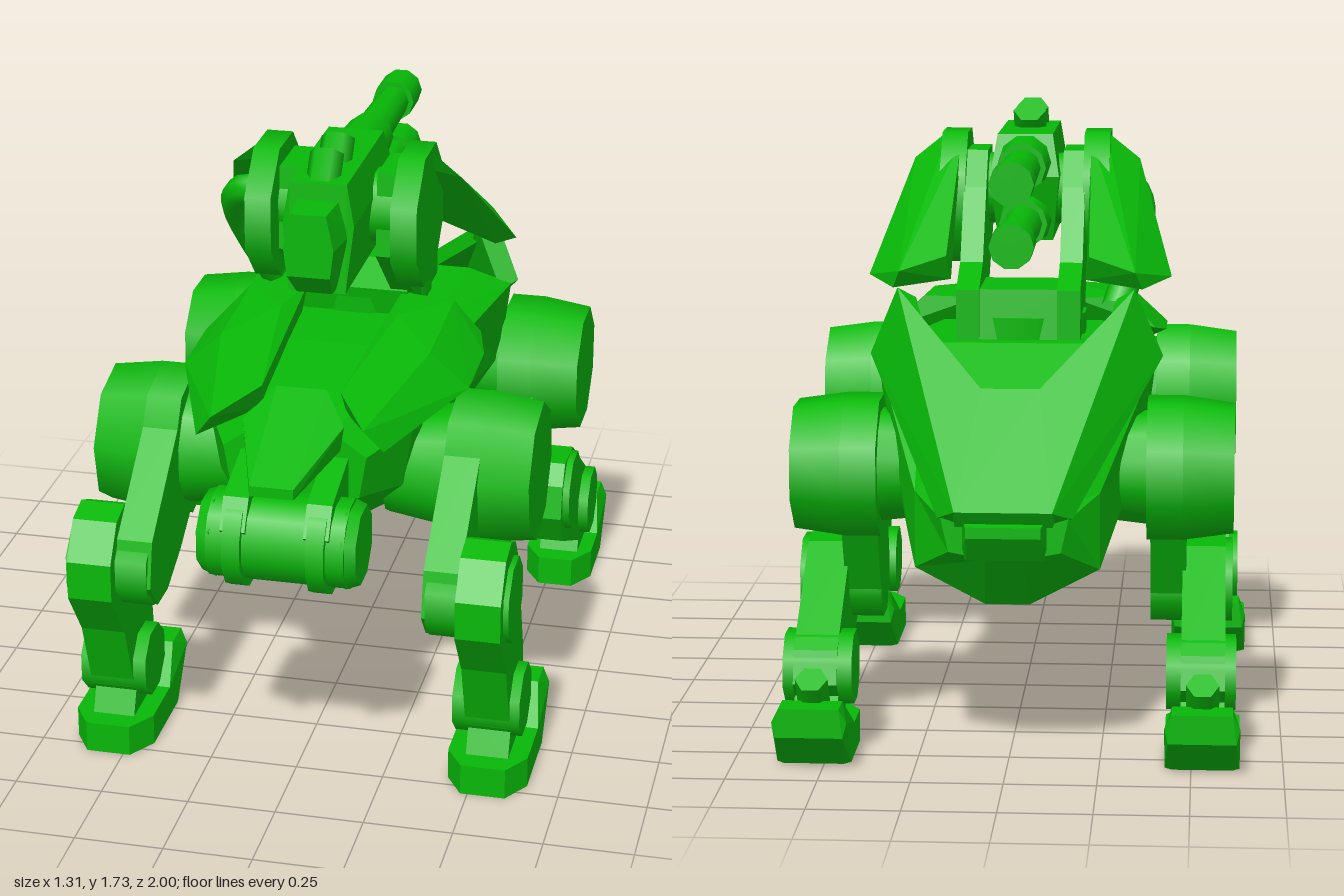
import * as THREE from 'three';
import { ConvexGeometry } from 'three/addons/geometries/ConvexGeometry.js';

const green = new THREE.MeshStandardMaterial({ color: 0x08b808 });
green.name = 'green armour';
const V = (p) => new THREE.Vector3(...p);
const UP = new THREE.Vector3(0, 1, 0);

export function createModel() {
  const root = new THREE.Group();
  root.name = 'quadrupedWalker';
  let parent = root;
  const add = (name, geo) => {
    const m = new THREE.Mesh(geo, green);
    m.name = name;
    parent.add(m);
    return m;
  };
  const group = (name, build) => {
    const g = new THREE.Group(), old = parent;
    g.name = name;
    old.add(g);
    parent = g;
    build();
    parent = old;
  };
  // faceted solid around a few corners; s mirrors x
  const hull = (name, pts, s = 1) => add(name, new ConvexGeometry(pts.map(([x, y, z]) => V([s * x, y, z]))));
  // solid symmetric about x = 0
  const symHull = (name, pts) => hull(name, pts.flatMap(([x, y, z]) => [[x, y, z], [-x, y, z]]));
  // sheet of corners given a thickness
  const plate = (name, pts, off, s = 1) =>
    hull(name, [...pts, ...pts.map((p) => p.map((v, i) => v + off[i]))], s);
  // cylinder between two points, turned about its axis by spin
  const rod = (name, a, b, r0, r1 = r0, n = 8, spin = Math.PI / n) => {
    const A = V(a), B = V(b), d = B.clone().sub(A);
    const geo = new THREE.CylinderGeometry(r1, r0, d.length(), n, 1, false, spin);
    geo.applyQuaternion(new THREE.Quaternion().setFromUnitVectors(UP, d.clone().normalize()));
    const c = A.add(B).multiplyScalar(0.5);
    return add(name, geo.translate(c.x, c.y, c.z));
  };
  // cylinder along x on side s
  const axle = (name, s, x0, x1, y, z, r0, r1 = r0, n = 8, spin = Math.PI / n) =>
    rod(name, [s * x0, y, z], [s * x1, y, z], r0, r1, n, spin);
  // side profile of (z, y) corners, given a width from x0 to x1
  const slab = (name, s, x0, x1, pts) => {
    const shape = new THREE.Shape(pts.map(([z, y]) => new THREE.Vector2(z, y)));
    const geo = new THREE.ExtrudeGeometry(shape, { depth: x1 - x0, bevelEnabled: false });
    geo.rotateY(-Math.PI / 2).translate(s > 0 ? x1 : -x0, 0, 0);
    return add(name, geo);
  };

  // hull lofted front to back; each section runs deck, shoulder, chine, keel
  const sections = [
    [0.74, [[0.1, 1.05], [0.2, 0.98], [0.18, 0.86], [0.08, 0.8]]],
    [0.55, [[0.18, 1.08], [0.29, 1.0], [0.26, 0.82], [0.12, 0.7]]],
    [0.25, [[0.24, 1.1], [0.31, 1.03], [0.31, 0.87], [0.18, 0.63]]],
    [0, [[0.24, 1.1], [0.33, 1.06], [0.33, 0.88], [0.18, 0.64]]],
    [-0.41, [[0.26, 1.1], [0.39, 1.06], [0.36, 0.82], [0.2, 0.56]]],
    [-0.82, [[0.18, 0.84], [0.25, 0.76], [0.25, 0.55], [0.06, 0.45]]],
    [-0.94, [[0.13, 0.74], [0.17, 0.71], [0.15, 0.62], [0.05, 0.6]]],
  ];
  const rings = sections.map(([z, h]) =>
    [...h, ...h.slice().reverse().map(([x, y]) => [-x, y])].map(([x, y]) => [x, y, z]));
  const tri = [];
  for (let i = 0; i < rings.length - 1; i++)
    for (let j = 0; j < 8; j++) {
      const k = (j + 1) % 8, a = rings[i][j], b = rings[i][k], c = rings[i + 1][k], d = rings[i + 1][j];
      tri.push(a, b, c, a, c, d);
    }
  const last = rings[rings.length - 1];
  for (let j = 1; j < 7; j++)
    tri.push(rings[0][0], rings[0][j + 1], rings[0][j], last[0], last[j], last[j + 1]);
  const body = new THREE.BufferGeometry();
  body.setAttribute('position', new THREE.Float32BufferAttribute(tri.flat(), 3));
  body.computeVertexNormals();
  add('body', body);
  symHull('tailBlock', [[0.12, 0.72, -0.9], [0.12, 0.6, -0.9], [0.1, 0.7, -1], [0.1, 0.67, -1], [0.1, 0.6, -0.95]]);

  // nose beak and front roller
  symHull('beak', [[0.06, 0.99, 1], [0.06, 0.96, 1], [0.14, 1.07, 0.75], [0.13, 1, 0.75],
    [0.07, 1.13, 0.65], [0.07, 0.97, 0.65]]);
  axle('frontRoller', 1, -0.19, 0.19, 0.78, 0.86, 0.125, 0.125, 12);
  for (const s of [1, -1]) {
    axle('rollerRing', s, 0.09, 0.14, 0.78, 0.86, 0.145, 0.145, 12);
    axle('rollerCap', s, 0.18, 0.22, 0.78, 0.86, 0.125, 0.11);
    slab('rollerArm', s, 0.08, 0.15, [[0.98, 0.84], [0.93, 0.92], [0.72, 0.98], [0.55, 0.95], [0.55, 0.78], [0.85, 0.72]]);
  }

  for (const s of [1, -1]) {
    // front back-armour
    hull('frontArmour', [[0.14, 1.17, 0], [0.17, 1.18, 0.2], [0.11, 1.13, 0.66], [0.3, 1.17, 0.03],
      [0.3, 1.15, 0.38], [0.21, 1.1, 0.83], [0.38, 1.08, 0.03], [0.41, 1.06, 0.14], [0.41, 1.05, 0.37],
      [0.26, 1.03, 0.8], [0.15, 1.08, 0.05], [0.12, 1.05, 0.62], [0.37, 1.04, 0.15], [0.37, 1.03, 0.35]], s);
    // swept rear armour with a notch between two horns
    plate('rearArmourHorn', [[0.13, 0.74, -1], [0.33, 1.26, -0.45], [0.08, 1.02, -0.7]], [0, -0.045, 0.035], s);
    plate('rearArmourWing', [[0.13, 0.74, -1], [0.33, 1.26, -0.45], [0.41, 1.07, -0.42], [0.18, 0.71, -0.93]],
      [-0.05, -0.03, 0.02], s);
  }
  symHull('rearArmourCentre', [[0.13, 0.74, -1], [0.08, 1.02, -0.7], [0.13, 0.695, -0.97], [0.08, 0.975, -0.67]]);

  // feet share one form: centre cx, half width w, toe tip at z = tip, all shifted by dz
  const foot = (s, cx, w, tip, dz) => group('foot', () => {
    const at = (pts) => pts.map(([x, y, z]) => [x + cx, y, z + dz]);
    const both = (pts) => at(pts.flatMap(([x, y, z]) => [[x, y, z], [-x, y, z]]));
    hull('sole', both([[w - 0.05, 0, 0.79], [w - 0.05, 0.09, 0.79], [w, 0, 0.71], [w, 0.09, 0.71],
      [w, 0, tip + 0.12], [w, 0.09, tip + 0.12]]), s);
    hull('toe', both([[w, 0, tip + 0.12], [w - 0.02, 0, tip + 0.1], [w - 0.01, 0.1, tip], [w, 0.14, tip + 0.01],
      [w - 0.02, 0.18, tip], [w - 0.02, 0.18, tip + 0.09], [w, 0.09, tip + 0.2]]), s);
    hull('anklePost', both([[0.06, 0.08, 0.54], [0.06, 0.14, 0.53], [0.06, 0.2, 0.6],
      [0.06, 0.2, 0.68], [0.06, 0.08, 0.73]]), s);
    axle('ankle', s, cx - 0.1, cx + 0.09, 0.235, 0.635 + dz, 0.105);
    rod('toePiston', [s * cx, 0.13, 0.53 + dz], [s * cx, 0.245, 0.45 + dz], 0.045, 0.045, 6);
  });

  for (const s of [1, -1]) {
    const side = s > 0 ? 'Left' : 'Right';
    group('front' + side + 'Leg', () => {
      const spin = -0.17 * s;
      axle('hipJoint', s, 0.2, 0.39, 0.82, 0.39, 0.15, 0.18, 12);
      axle('hip', s, 0.38, 0.48, 0.825, 0.39, 0.22, 0.22, 8, spin);
      axle('hipCover', s, 0.48, 0.62, 0.825, 0.39, 0.22, 0.2, 8, spin);
      slab('thigh', s, 0.38, 0.48, [[0.5, 0.98], [0.84, 0.71], [0.87, 0.58], [0.8, 0.5], [0.7, 0.5],
        [0.56, 0.56], [0.3, 0.72], [0.32, 0.95]]);
      axle('knee', s, 0.39, 0.62, 0.61, 0.76, 0.12);
      slab('calf', s, 0.48, 0.605, [[0.84, 0.76], [0.76, 0.78], [0.69, 0.75], [0.64, 0.68], [0.52, 0.33],
        [0.52, 0.16], [0.64, 0.12], [0.72, 0.18], [0.8, 0.4], [0.91, 0.55], [0.91, 0.66]]);
      foot(s, 0.543, 0.113, 0.34, 0);
    });
    group('rear' + side + 'Leg', () => {
      axle('hipJoint', s, 0.2, 0.38, 0.77, -0.5, 0.14, 0.16, 12);
      axle('hip', s, 0.37, 0.47, 0.77, -0.5, 0.205);
      axle('hipCover', s, 0.47, 0.61, 0.77, -0.5, 0.205, 0.185);
      slab('thigh', s, 0.38, 0.48, [[-0.34, 0.85], [-0.64, 0.83], [-0.6, 0.66], [-0.47, 0.4], [-0.4, 0.31],
        [-0.3, 0.33], [-0.25, 0.45], [-0.29, 0.65]]);
      axle('knee', s, 0.38, 0.61, 0.42, -0.36, 0.12);
      slab('calf', s, 0.47, 0.59, [[-0.28, 0.54], [-0.24, 0.48], [-0.22, 0.38], [-0.28, 0.28], [-0.62, 0.12],
        [-0.72, 0.13], [-0.8, 0.21], [-0.77, 0.3], [-0.43, 0.53]]);
      foot(s, 0.53, 0.102, 0.38, -1.32);
    });
  }

  group('turret', () => {
    rod('turretRing', [0, 1.06, -0.17], [0, 1.16, -0.17], 0.19, 0.19, 12);
    symHull('turretBase', [[0.16, 1.08, 0], [0.16, 1.18, 0.02], [0.13, 1.24, -0.08],
      [0.13, 1.24, -0.33], [0.16, 1.08, -0.35]]);
    // gun housing
    symHull('gunHousing', [[0.08, 1.65, 0.45], [0.1, 1.53, 0.45], [0.08, 1.34, 0.47], [0.08, 1.65, -0.02],
      [0.1, 1.53, -0.06], [0.08, 1.34, 0]]);
    symHull('gunHousingFace', [[0.05, 1.6, 0.57], [0.07, 1.5, 0.57], [0.06, 1.42, 0.57], [0.05, 1.35, 0.5],
      [0.06, 1.6, 0.4], [0.09, 1.5, 0.4], [0.06, 1.35, 0.4]]);
    for (const z of [0.41, 0.275])
      rod('topSensor', [0, 1.61, z], [0, 1.7, z - 0.07], 0.048, 0.048, 6);
    // twin guns, one above the other
    for (const [y, end] of [[1.57, -0.2], [1.4, -0.12]]) {
      rod('gunSleeve', [0, y, 0.02], [0, y, end], 0.08, 0.07, 10);
      rod('gunBarrel', [0, y, end], [0, y, -0.54], 0.055, 0.047, 10);
      rod('muzzle', [0, y, -0.525], [0, y, -0.65], 0.062, 0.062, 10);
    }
    for (const s of [1, -1]) {
      axle('turretAxle', s, 0.07, 0.18, 1.48, 0.12, 0.105, 0.105, 12);
      axle('turretDisc', s, 0.17, 0.245, 1.46, 0.12, 0.205);
      slab('turretBracket', s, 0.11, 0.175, [[0.22, 1.36], [0, 1.17], [0, 1.1], [-0.35, 1.1], [-0.35, 1.24],
        [-0.2, 1.3], [-0.06, 1.5], [0.02, 1.6], [0.2, 1.6]]);
      hull('sideShield', [[0.23, 1.65, 0.1], [0.33, 1.57, 0.1], [0.43, 1.27, -0.25], [0.35, 1.25, -0.38],
        [0.33, 1.3, -0.41], [0.2, 1.34, -0.38], [0.19, 1.63, 0.04], [0.23, 1.57, 0.05],
        [0.19, 1.27, -0.34], [0.37, 1.25, -0.24]], s);
    }
    // feed hose on the right side only
    const path = new THREE.CatmullRomCurve3([[-0.22, 1.51, 0.15], [-0.29, 1.5, 0.14], [-0.33, 1.44, 0.08],
      [-0.315, 1.3, -0.03], [-0.27, 1.16, -0.12]].map(V));
    add('feedHose', new THREE.TubeGeometry(path, 14, 0.045, 8));
  });
  return root;
}
